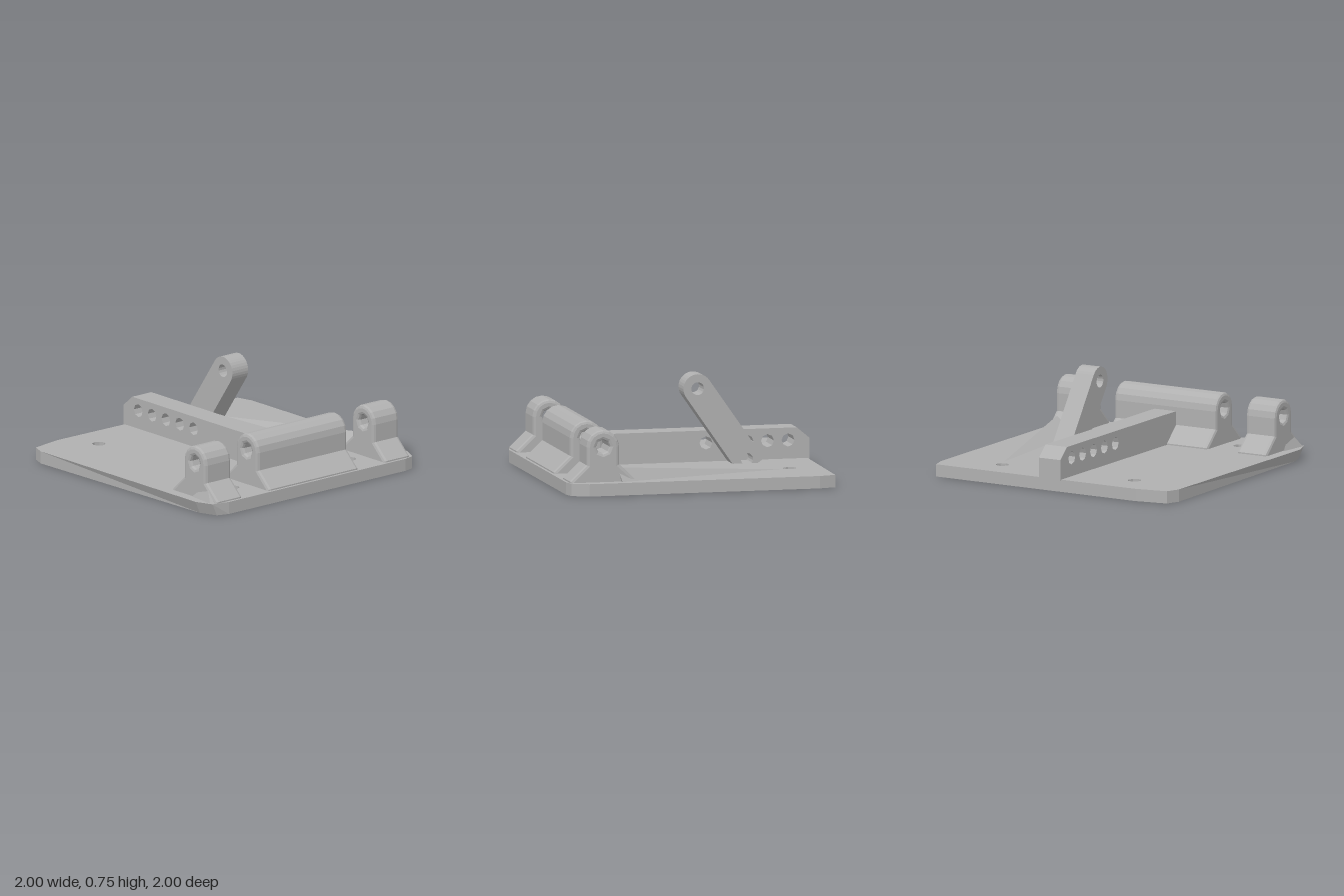
import * as THREE from 'three';

const grey = new THREE.MeshStandardMaterial({ color: 0xb0b0b0 });
grey.name = 'plain grey';

const V = (x, y) => new THREE.Vector2(x, y);

// Round hole in a shape
function addHole(shape, x, y, r) {
  shape.holes.push(new THREE.Path().absarc(x, y, r, 0, Math.PI * 2, true));
}

// Extrude a side profile between two z positions, with optional softened ends
function extrudeZ(shape, z0, z1, bevel = 0, segments = 4) {
  const geo = new THREE.ExtrudeGeometry(shape, {
    depth: z1 - z0 - 2 * bevel, curveSegments: segments,
    bevelEnabled: bevel > 0, bevelThickness: bevel, bevelSize: bevel,
    bevelOffset: -bevel, bevelSegments: 2,
  });
  return geo.translate(0, 0, z0 + bevel);
}

// Faceted four-cornered wedge: apex a over the base b, c, d (counter-clockwise from above)
function wedge(a, b, c, d) {
  const geo = new THREE.BufferGeometry();
  const pts = [a, b, c, a, c, d, a, d, b, b, d, c].flat();
  geo.setAttribute('position', new THREE.Float32BufferAttribute(pts, 3));
  geo.computeVertexNormals();
  return geo;
}

export function createModel() {
  const group = new THREE.Group();
  const add = (name, geo) => {
    const mesh = new THREE.Mesh(geo, grey);
    mesh.name = name;
    group.add(mesh);
  };

  // Base plate, drawn in plan (shape y is -z), with four screw holes
  const plan = new THREE.Shape([
    V(-1, -0.72), V(-0.96, -0.96), V(-0.86, -1), V(0.84, -1), V(0.97, -0.95), V(1, -0.82),
    V(1, 0.86), V(0.98, 0.94), V(0.86, 1), V(-0.85, 1), V(-0.97, 0.97),
  ]);
  for (const x of [-0.735, 0.735]) for (const z of [-0.555, 0.555]) addHole(plan, x, z, 0.05);
  const plate = extrudeZ(plan, 0.01, 0.1);
  plate.rotateX(-Math.PI / 2);
  // Undercut the front edge towards the right end
  const p = plate.attributes.position;
  for (let i = 0; i < p.count; i++) {
    if (p.getY(i) < 0.05 && p.getZ(i) > 0.9 && p.getX(i) > 0.5) p.setZ(i, p.getZ(i) - 0.04);
  }
  plate.computeVertexNormals();
  add('basePlate', plate);

  // Rail with five adjustment holes
  const rail = new THREE.Shape([
    V(-1, 0.09), V(0.64, 0.09), V(0.64, 0.325), V(-0.905, 0.325), V(-1, 0.245),
  ]);
  for (let i = 0; i < 5; i++) addHole(rail, -0.84 + i * 0.152, 0.235, 0.048);
  add('rail', extrudeZ(rail, -0.09, 0.09));

  // Leaning arm: drawn upright with its eye at the origin, then tilted and placed
  const arm = new THREE.Shape();
  const r = 0.105, length = 0.71;
  arm.moveTo(-r, -length);
  arm.lineTo(r, -length);
  arm.lineTo(r, 0);
  arm.absarc(0, 0, r, 0, Math.PI, false);
  arm.lineTo(-r, -length);
  addHole(arm, 0, 0, 0.047);
  addHole(arm, 0, -length + 0.07, 0.045);
  const armGeo = extrudeZ(arm, -0.25, -0.1, 0, 8);
  armGeo.rotateZ(-0.608).translate(-0.13, 0.655, 0);
  armGeo.translate(0, -Math.min(0, new THREE.Box3().setFromBufferAttribute(armGeo.attributes.position).min.y), 0);
  add('arm', armGeo);

  // Hinge knuckles: arched blocks with sloping feet and a pin bore
  const knuckle = (name, z0, z1) => {
    const s = new THREE.Shape();
    s.moveTo(0.49, 0.06);
    s.lineTo(0.98, 0.06);
    s.lineTo(0.98, 0.11);
    s.lineTo(0.858, 0.225);
    s.lineTo(0.858, 0.355);
    s.absarc(0.737, 0.355, 0.121, 0, Math.PI, false);
    s.lineTo(0.616, 0.225);
    s.lineTo(0.49, 0.11);
    addHole(s, 0.737, 0.355, 0.05);
    add(name, extrudeZ(s, z0, z1, 0.022));
  };
  knuckle('frontKnuckle', 0.675, 0.92);
  knuckle('middleKnuckle', -0.43, 0.425);
  knuckle('backKnuckle', -0.92, -0.68);

  // Low ridge running from a screw hole to the back knuckle
  add('ridge', wedge([0.63, 0.2, -0.9], [-0.68, 0.098, -0.59], [0.63, 0.098, -0.69], [0.6, 0.098, -0.95]));

  // Small corner fillet in front of the front knuckle
  add('cornerFillet', wedge([0.85, 0.22, 0.9], [0.72, 0.098, 0.93], [0.95, 0.098, 0.955], [0.97, 0.098, 0.86]));

  return group;
}
